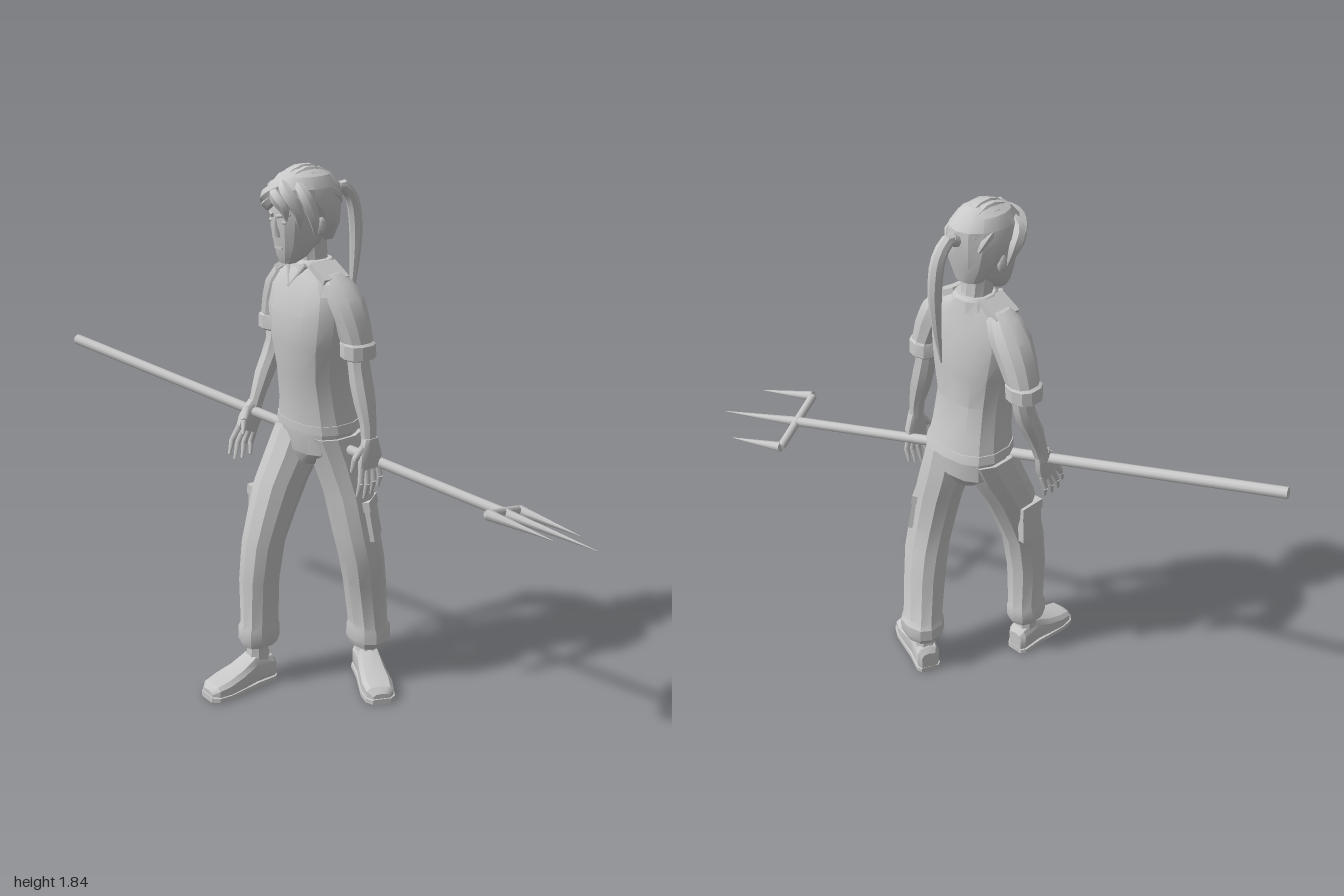
import * as THREE from 'three';
import { toCreasedNormals, mergeVertices } from 'three/addons/utils/BufferGeometryUtils.js';

const V = (p) => new THREE.Vector3(...p);

export function createModel() {
  const model = new THREE.Group();
  const grey = new THREE.MeshStandardMaterial({ color: 0xc8c8c8 });
  grey.name = 'plain grey';

  const add = (name, geo, parent = model) => {
    const mesh = new THREE.Mesh(geo, grey);
    mesh.name = name;
    parent.add(mesh);
    return mesh;
  };
  const group = (name) => {
    const g = new THREE.Group();
    g.name = name;
    model.add(g);
    return g;
  };

  // Closed skin over horizontal rings [x, y, z, rx, rz], listed from low to high
  function loft(rings, n = 12, power = 2.4, crease = 0.45) {
    const pos = [], idx = [];
    const round = (v) => Math.sign(v) * Math.abs(v) ** (2 / power);
    for (const [x, y, z, rx, rz] of rings)
      for (let j = 0; j < n; j++) {
        const a = ((j + 0.5) / n) * Math.PI * 2;
        pos.push(x + rx * round(Math.cos(a)), y, z + rz * round(Math.sin(a)));
      }
    for (let i = 0; i < rings.length - 1; i++)
      for (let j = 0; j < n; j++) {
        const a = i * n + j, b = i * n + ((j + 1) % n);
        idx.push(a, a + n, b, b, a + n, b + n);
      }
    const last = (rings.length - 1) * n;
    for (let j = 1; j < n - 1; j++) idx.push(0, j, j + 1, last, last + j + 1, last + j);
    const geo = new THREE.BufferGeometry();
    geo.setAttribute('position', new THREE.Float32BufferAttribute(pos, 3));
    geo.setIndex(idx);
    return toCreasedNormals(geo, crease);
  }

  // Straight tapered bar between two points
  function rod(a, b, ra, rb, n = 8) {
    const d = V(b).sub(V(a));
    const geo = new THREE.CylinderGeometry(rb, ra, d.length(), n);
    geo.applyQuaternion(new THREE.Quaternion().setFromUnitVectors(V([0, 1, 0]), d.clone().normalize()));
    const m = V(a).add(V(b)).multiplyScalar(0.5);
    return geo.translate(m.x, m.y, m.z);
  }

  // Curved strand whose thickness follows radius(t)
  function strand(points, radius, segs = 10, n = 6) {
    const curve = new THREE.CatmullRomCurve3(points.map(V));
    const geo = new THREE.TubeGeometry(curve, segs, 1, n);
    const p = geo.attributes.position, v = new THREE.Vector3();
    for (let i = 0; i < p.count; i++) {
      const t = Math.floor(i / (n + 1)) / segs, c = curve.getPointAt(t);
      v.fromBufferAttribute(p, i).sub(c).multiplyScalar(radius(t)).add(c);
      p.setXYZ(i, v.x, v.y, v.z);
    }
    geo.deleteAttribute('normal');
    geo.deleteAttribute('uv');
    return toCreasedNormals(mergeVertices(geo, 1e-5), 0.7);
  }
  const lockWidth = (r) => (t) => 0.002 + r * Math.sin(Math.PI * (0.12 + 0.88 * t));

  // Shirt
  const shirt = group('shirt');
  add('shirtBody', loft([
    [0.008, 0.975, -0.03, 0.148, 0.12], [0.008, 1.05, -0.02, 0.135, 0.11],
    [0.01, 1.16, -0.002, 0.128, 0.105], [0.012, 1.27, 0.005, 0.148, 0.113],
    [0.012, 1.37, 0.008, 0.165, 0.108], [0.01, 1.44, 0.005, 0.155, 0.092],
    [0.005, 1.49, 0, 0.115, 0.078], [0, 1.515, -0.005, 0.075, 0.068]], 14), shirt);
  add('shirtHem', loft([[0.008, 0.97, -0.031, 0.152, 0.124], [0.008, 1.0, -0.027, 0.147, 0.12]], 14), shirt);
  add('collar', loft([[0, 1.485, -0.005, 0.092, 0.08], [0, 1.525, -0.008, 0.072, 0.07],
    [0, 1.535, -0.01, 0.062, 0.06]], 12, 2.2), shirt);
  for (const s of [1, -1]) {
    const flap = add('shoulderFlap', new THREE.BoxGeometry(0.085, 0.02, 0.1), shirt);
    flap.position.set(0.003 + s * 0.093, 1.505, 0);
    flap.rotation.z = -s * 0.5;
    add('collarEdge', rod([s * 0.045, 1.525, 0.055], [0, 1.455, 0.088], 0.01, 0.006, 5), shirt);
  }

  // Trousers
  const trousers = group('trousers');
  add('hips', loft([[0, 0.84, -0.025, 0.06, 0.075], [0.005, 0.89, -0.03, 0.13, 0.105],
    [0.008, 0.99, -0.03, 0.14, 0.112]], 14), trousers);
  add('rightTrouserLeg', loft([
    [-0.092, 0.15, 0.16, 0.052, 0.066], [-0.094, 0.17, 0.16, 0.06, 0.074],
    [-0.094, 0.215, 0.158, 0.06, 0.074], [-0.092, 0.235, 0.157, 0.054, 0.068],
    [-0.09, 0.4, 0.157, 0.062, 0.069], [-0.086, 0.54, 0.14, 0.068, 0.073],
    [-0.082, 0.65, 0.105, 0.074, 0.082], [-0.078, 0.76, 0.065, 0.08, 0.092],
    [-0.07, 0.86, 0.015, 0.083, 0.1], [-0.062, 0.95, -0.02, 0.08, 0.1]], 10), trousers);
  add('leftTrouserLeg', loft([
    [0.122, 0.135, -0.165, 0.064, 0.06], [0.122, 0.16, -0.165, 0.08, 0.07],
    [0.122, 0.205, -0.165, 0.08, 0.07], [0.124, 0.225, -0.16, 0.072, 0.063],
    [0.138, 0.4, -0.13, 0.073, 0.07], [0.15, 0.5, -0.105, 0.079, 0.072],
    [0.143, 0.6, -0.085, 0.081, 0.075], [0.117, 0.74, -0.072, 0.083, 0.08],
    [0.087, 0.86, -0.055, 0.085, 0.092], [0.075, 0.95, -0.035, 0.078, 0.1]], 10), trousers);
  const pocket = (name, x, y, z, yaw, tilt) => {
    const g = new THREE.Group();
    g.name = name;
    trousers.add(g);
    add('pocketBag', new THREE.BoxGeometry(0.025, 0.13, 0.09), g);
    add('pocketFlap', new THREE.BoxGeometry(0.034, 0.035, 0.096), g).position.y = 0.06;
    g.position.set(x, y, z);
    g.rotation.set(0, yaw, tilt);
  };
  pocket('rightPocket', -0.153, 0.65, 0.1, 0, -0.05);
  pocket('leftPocket', 0.19, 0.65, -0.115, 0.6, 0.18);

  // Shoes: sections run from heel to toe [offset, half width, height]
  const shoeSections = [[-0.06, 0.03, 0.085], [-0.045, 0.042, 0.105], [0.03, 0.043, 0.12],
    [0.09, 0.05, 0.088], [0.15, 0.056, 0.07], [0.195, 0.05, 0.058], [0.215, 0.03, 0.04]];
  const shoe = (name, x, z, yaw) => {
    const g = group(name);
    const upper = loft(shoeSections.map(([d, w, h]) => [0, d, -h / 2, w, h / 2]), 10, 3.2);
    add('shoeUpper', upper.rotateX(Math.PI / 2), g);
    add('shoeSole', loft(shoeSections.map(([d, w]) => [0, d * 1.02, -0.011, w * 1.08, 0.011]), 8, 6)
      .rotateX(Math.PI / 2), g);
    add('ankle', loft([[0, 0.08, 0, 0.04, 0.048], [0, 0.13, 0, 0.033, 0.038], [0, 0.19, 0, 0.036, 0.04]], 8), g);
    g.position.set(x, 0, z);
    g.rotation.y = yaw;
  };
  shoe('rightShoe', -0.085, 0.172, 0);
  shoe('leftShoe', 0.115, -0.165, 1.13);

  // Arms
  const rightArm = group('rightArm'), leftArm = group('leftArm');
  add('rightSleeve', loft([
    [-0.228, 1.245, -0.028, 0.05, 0.052], [-0.232, 1.25, -0.028, 0.056, 0.057],
    [-0.228, 1.295, -0.028, 0.056, 0.057], [-0.222, 1.3, -0.027, 0.05, 0.053],
    [-0.19, 1.37, -0.022, 0.06, 0.06], [-0.155, 1.43, -0.015, 0.062, 0.065],
    [-0.12, 1.48, -0.008, 0.048, 0.055], [-0.1, 1.505, -0.005, 0.025, 0.035]], 10), rightArm);
  add('rightForearm', loft([
    [-0.232, 0.97, 0.068, 0.024, 0.026], [-0.228, 1.02, 0.052, 0.025, 0.027],
    [-0.228, 1.1, 0.02, 0.033, 0.036], [-0.226, 1.16, -0.008, 0.034, 0.038],
    [-0.222, 1.21, -0.022, 0.032, 0.036], [-0.22, 1.28, -0.026, 0.036, 0.038]], 8), rightArm);
  add('leftSleeve', loft([
    [0.2, 1.24, -0.035, 0.046, 0.05], [0.204, 1.245, -0.035, 0.053, 0.056],
    [0.204, 1.29, -0.033, 0.053, 0.056], [0.2, 1.297, -0.032, 0.047, 0.052],
    [0.178, 1.37, -0.022, 0.056, 0.06], [0.152, 1.43, -0.015, 0.058, 0.065],
    [0.12, 1.48, -0.008, 0.046, 0.055], [0.1, 1.505, -0.005, 0.025, 0.035]], 10), leftArm);
  add('leftForearm', loft([
    [0.256, 0.97, -0.042, 0.022, 0.026], [0.25, 1.03, -0.042, 0.025, 0.028],
    [0.233, 1.1, -0.04, 0.034, 0.036], [0.218, 1.16, -0.038, 0.035, 0.038],
    [0.206, 1.22, -0.036, 0.033, 0.036], [0.2, 1.28, -0.034, 0.036, 0.038]], 8), leftArm);

  // Hands: palm, four bent fingers and a thumb
  const hand = (parent, name, s, x, y, z, pitch, thumbX) => {
    const g = new THREE.Group();
    g.name = name;
    parent.add(g);
    add('palm', loft([[0, -0.095, 0, 0.016, 0.042], [0, -0.05, 0, 0.02, 0.044], [0, 0.01, 0, 0.02, 0.025]], 8, 3), g);
    for (let i = 0; i < 4; i++) {
      const fz = 0.033 - i * 0.022, len = [0.1, 0.115, 0.105, 0.085][i];
      const knuckle = [s * 0.006, -0.09 - len * 0.5, fz * 1.25];
      add('fingerBase', rod([0, -0.085, fz], knuckle, 0.012, 0.01, 6), g);
      add('fingerTip', rod(knuckle, [-s * 0.008, -0.09 - len, fz * 1.35], 0.01, 0.005, 6), g);
    }
    add('thumbBase', rod([0, -0.02, 0.025], [thumbX * 0.6, -0.06, 0.052], 0.014, 0.011, 6), g);
    add('thumbTip', rod([thumbX * 0.6, -0.06, 0.052], [thumbX, -0.105, 0.06], 0.011, 0.005, 6), g);
    g.position.set(x, y, z);
    g.rotation.x = pitch;
  };
  hand(rightArm, 'rightHand', -1, -0.232, 0.985, 0.066, -0.4, 0.065);
  hand(leftArm, 'leftHand', 1, 0.26, 0.975, -0.042, 0, -0.02);

  // Head and face
  const head = group('head');
  add('neck', loft([[0, 1.47, -0.015, 0.055, 0.055], [-0.005, 1.54, -0.008, 0.046, 0.05],
    [-0.01, 1.64, 0, 0.05, 0.055]], 10), head);
  add('skull', loft([[-0.01, 1.53, 0.082, 0.026, 0.025], [-0.01, 1.55, 0.065, 0.042, 0.05],
    [-0.01, 1.59, 0.045, 0.06, 0.078], [-0.01, 1.65, 0.035, 0.074, 0.097],
    [-0.01, 1.7, 0.03, 0.08, 0.104], [-0.01, 1.77, 0.025, 0.075, 0.1]], 14), head);
  add('nose', rod([-0.01, 1.618, 0.126], [-0.01, 1.682, 0.13], 0.017, 0.006, 4), head);
  add('mouth', new THREE.BoxGeometry(0.036, 0.008, 0.009), head).position.set(-0.01, 1.582, 0.118);
  for (const s of [1, -1]) {
    add('brow', rod([-0.01 + s * 0.012, 1.685, 0.133], [-0.01 + s * 0.055, 1.693, 0.114], 0.008, 0.005, 5), head);
    const eye = add('eye', new THREE.SphereGeometry(0.013, 8, 6), head);
    eye.position.set(-0.01 + s * 0.032, 1.667, 0.122);
    eye.scale.set(1, 0.5, 0.5);
    const ear = add('ear', new THREE.SphereGeometry(0.03, 8, 6), head);
    ear.position.set(-0.01 + s * 0.082, 1.65, 0.012);
    ear.scale.set(0.4, 1, 0.65);
  }

  // Hair
  const hair = group('hair');
  add('hairCap', loft([[-0.01, 1.595, -0.045, 0.05, 0.04], [-0.01, 1.65, -0.03, 0.084, 0.068],
    [-0.01, 1.7, -0.01, 0.096, 0.096], [-0.01, 1.73, 0.012, 0.098, 0.121],
    [-0.01, 1.77, 0.018, 0.092, 0.122], [-0.01, 1.805, 0.018, 0.07, 0.09],
    [-0.01, 1.824, 0.014, 0.035, 0.05]], 14, 2.1), hair);
  for (let i = -3; i <= 3; i++) {
    const x = i * 0.026, drop = i * i * 0.0055;
    add('crownLock', strand([[-0.01 + x * 1.05, 1.74 - drop * 0.3, 0.128 - drop], [-0.01 + x * 0.9, 1.792 - drop, 0.092],
      [-0.01 + x * 0.85, 1.82 - drop, 0.01], [-0.01 + x * 0.95, 1.775 - drop, -0.075],
      [-0.01 + x * 0.7, 1.7, -0.1 + drop * 0.7]], lockWidth(0.018)), hair);
  }
  const bangs = [
    [[0.0, 1.79, 0.11], [0.045, 1.765, 0.13], [0.072, 1.71, 0.105], [0.064, 1.645, 0.092]],
    [[0.03, 1.79, 0.08], [0.075, 1.76, 0.085], [0.092, 1.69, 0.06], [0.085, 1.62, 0.045]],
    [[0.02, 1.785, 0.115], [-0.03, 1.752, 0.142], [-0.075, 1.72, 0.115], [-0.098, 1.675, 0.075]],
    [[0.01, 1.76, 0.135], [-0.04, 1.725, 0.135], [-0.085, 1.7, 0.095], [-0.1, 1.65, 0.05]],
    [[-0.05, 1.785, 0.08], [-0.1, 1.75, 0.075], [-0.112, 1.7, 0.045], [-0.095, 1.635, 0.03]],
    [[-0.02, 1.765, 0.13], [0.015, 1.75, 0.146], [0.04, 1.72, 0.136], [0.045, 1.675, 0.128]]];
  for (const b of bangs) add('bang', strand(b, lockWidth(0.021)), hair);
  add('hairTie', rod([-0.01, 1.735, -0.09], [-0.01, 1.75, -0.125], 0.022, 0.02, 8), hair);
  add('ponytail', strand([[-0.01, 1.73, -0.085], [-0.01, 1.753, -0.13], [-0.01, 1.71, -0.175],
    [-0.01, 1.62, -0.194], [-0.01, 1.5, -0.192], [-0.01, 1.345, -0.174]],
    (t) => 0.003 + 0.02 * Math.sin(Math.PI * (0.25 + 0.75 * t)), 16, 8), hair);

  // Three-pronged spear
  const spear = group('spear');
  const up = [0.74, 0.862, -0.11], low = [0.655, 0.787, -0.335];
  add('shaft', rod([-0.997, 1.084, 0.33], [0.7, 0.823, -0.222], 0.019, 0.017, 10), spear);
  add('crossbar', rod(low, up, 0.015, 0.015, 8), spear);
  const prongs = [[up, [0.945, 0.83, -0.18]], [[0.69, 0.824, -0.219], [1, 0.776, -0.32]], [low, [0.865, 0.756, -0.393]]];
  for (const [from, tip] of prongs) add('prong', rod(from, tip, 0.018, 0.001, 8), spear);

  return model;
}
